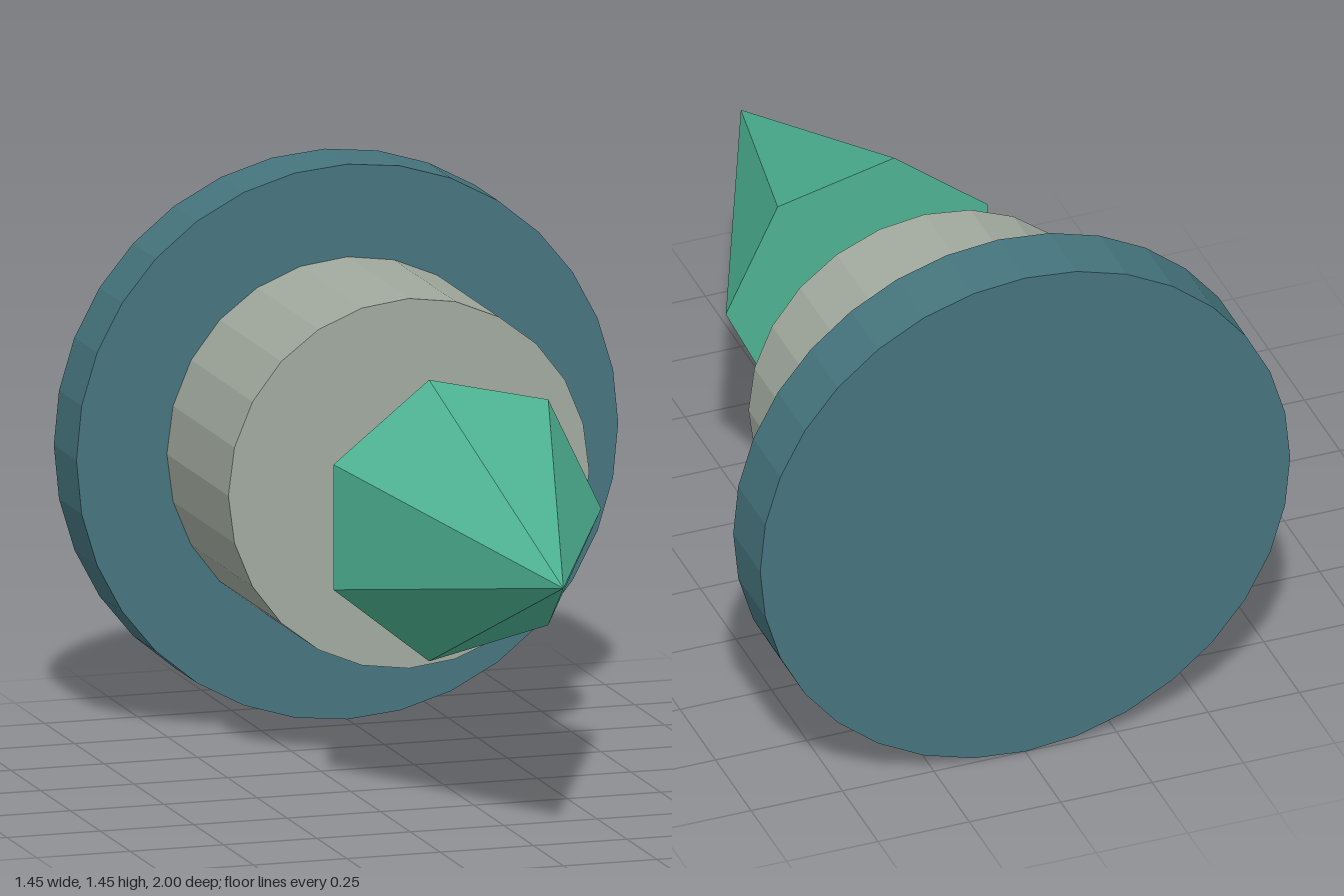
import * as THREE from 'three';

const CENTER_Y = 0.725;

function flatMaterial(name, color) {
  const material = new THREE.MeshStandardMaterial({ color, flatShading: true });
  material.name = name;
  return material;
}

// Capped round part lying along z, from zBack to zFront
function roundPart(name, material, rFront, rBack, zBack, zFront, sides) {
  const geometry = new THREE.CylinderGeometry(
    rFront, rBack, zFront - zBack, sides, 1, false, Math.PI / 2);
  geometry.rotateX(Math.PI / 2);
  const mesh = new THREE.Mesh(geometry, material);
  mesh.name = name;
  mesh.position.set(0, CENTER_Y, (zBack + zFront) / 2);
  return mesh;
}

export function createModel() {
  const teal = flatMaterial('teal', 0x46757e);
  const grey = flatMaterial('warm grey', 0xa2aa9f);
  const green = flatMaterial('green', 0x4db292);

  const model = new THREE.Group();
  model.name = 'model';
  model.add(
    // Wide disc at the back
    roundPart('backDisc', teal, 0.725, 0.725, -1, -0.81, 32),
    // Drum joined to the disc
    roundPart('drum', grey, 0.483, 0.483, -0.81, -0.295, 24),
    // Floating seven-sided spike pointing forward
    roundPart('spike', green, 0, 0.377, 0.137, 1, 7),
  );
  return model;
}
